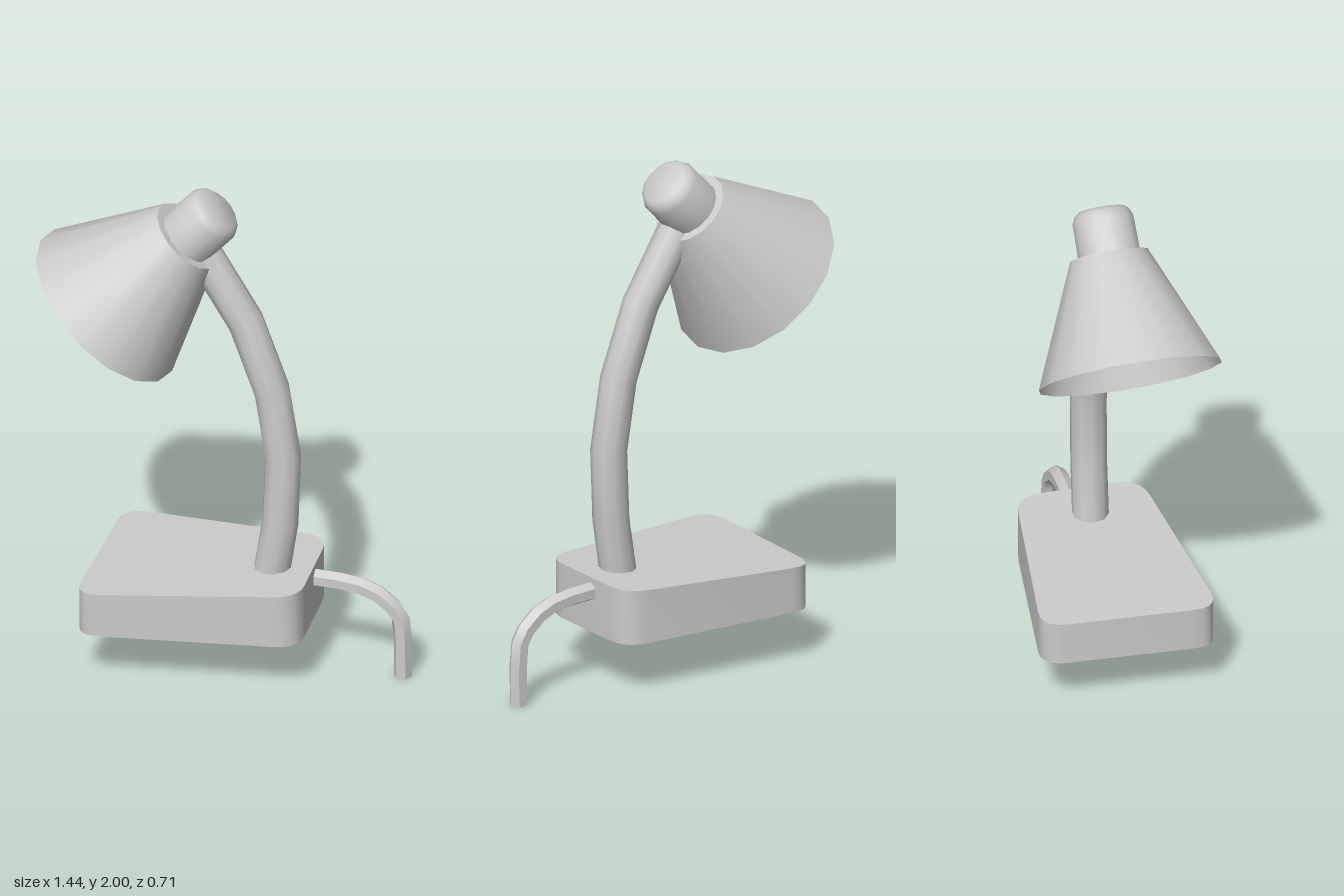
import * as THREE from 'three';
import { toCreasedNormals } from 'three/addons/utils/BufferGeometryUtils.js';

const material = new THREE.MeshStandardMaterial({ color: 0xcccccc, side: THREE.DoubleSide });

function part(name, geometry, crease = 0.7) {
  const mesh = new THREE.Mesh(toCreasedNormals(geometry, crease), material);
  mesh.name = name;
  return mesh;
}

function meshData(positions, index) {
  const g = new THREE.BufferGeometry();
  g.setAttribute('position', new THREE.Float32BufferAttribute(positions, 3));
  g.setIndex(index);
  g.computeVertexNormals();
  return g;
}

// Capped round sweep along a path lying roughly in the xy plane
function sweep(path, radius, sides) {
  const pos = [], idx = [], last = path.length - 1;
  path.forEach((p, i) => {
    const a = path[Math.max(i - 1, 0)], b = path[Math.min(i + 1, last)];
    const t = new THREE.Vector2(b[0] - a[0], b[1] - a[1]).normalize();
    for (let j = 0; j < sides; j++) {
      const ang = (j / sides) * Math.PI * 2, c = Math.cos(ang) * radius;
      pos.push(p[0] + t.y * c, p[1] - t.x * c, p[2] + Math.sin(ang) * radius);
    }
  });
  const start = pos.length / 3, end = start + 1;
  pos.push(...path[0], ...path[last]);
  for (let j = 0; j < sides; j++) {
    const k = (j + 1) % sides;
    for (let i = 0; i < last; i++) {
      const r = i * sides, s = r + sides;
      idx.push(r + j, s + j, r + k, r + k, s + j, s + k);
    }
    idx.push(start, j, k, end, last * sides + k, last * sides + j);
  }
  return meshData(pos, idx);
}

// Tapered base outline (x, z) with rounded corners
function baseOutline() {
  const corners = [[-0.49, 0.34], [0.355, 0.205], [0.335, -0.28], [-0.49, -0.35]]
    .map(([x, z]) => new THREE.Vector2(x, z));
  const points = [];
  corners.forEach((c, i) => {
    const toward = (o) => c.clone().add(o.clone().sub(c).setLength(0.1));
    const curve = new THREE.QuadraticBezierCurve(
      toward(corners[(i + 3) % 4]), c, toward(corners[(i + 1) % 4]));
    points.push(...curve.getPoints(5));
  });
  return points;
}

// Hollow base: sloping top, side wall, open underside
function createBase() {
  const base = new THREE.Group();
  base.name = 'base';
  const outline = baseOutline(), n = outline.length;
  const topY = (x) => 0.39 + (x + 0.49) * 0.054;
  const wall = [], top = [], idx = [];
  outline.forEach((p, i) => {
    const a = 2 * i, b = 2 * ((i + 1) % n);
    wall.push(p.x, 0.215, p.y, p.x, topY(p.x), p.y);
    top.push(p.x, topY(p.x), p.y);
    idx.push(a, b, a + 1, a + 1, b, b + 1);
  });
  const faces = THREE.ShapeUtils.triangulateShape(outline, []);
  const up = faces.flatMap(([a, b, c]) => {
    const ab = outline[b].clone().sub(outline[a]), ac = outline[c].clone().sub(outline[a]);
    return ab.cross(ac) < 0 ? [a, b, c] : [a, c, b];
  });
  base.add(part('baseWall', meshData(wall, idx)), part('baseTop', meshData(top, up)));
  return base;
}

// Tilted head: open conical shade with a rounded socket cap
function createHead() {
  const head = new THREE.Group();
  head.name = 'head';
  const lathe = (profile, sides) =>
    new THREE.LatheGeometry(profile.map(([r, y]) => new THREE.Vector2(r, y)), sides);
  const shade = part('shade', lathe([[0.354, 0], [0.152, 0.465], [0, 0.465]], 16));
  const cap = part('socketCap', lathe(
    [[0.12, 0.46], [0.118, 0.605], [0.107, 0.63], [0.088, 0.645], [0, 0.645]], 16), 0.75);
  head.add(shade, cap);
  const mouth = new THREE.Vector3(-0.46, 1.465, 0);
  const axis = new THREE.Vector3(-0.147, 1.805, -0.016).sub(mouth).normalize();
  head.quaternion.setFromUnitVectors(new THREE.Vector3(0, 1, 0), axis);
  head.position.copy(mouth);
  return head;
}

export function createModel() {
  const lamp = new THREE.Group();
  lamp.name = 'deskLamp';

  // Curved stem from the base to the shade
  const stem = [[0.185, 0.40], [0.22, 0.63], [0.23, 0.91], [0.185, 1.19],
    [0.083, 1.47], [-0.08, 1.735]].map(([x, y]) => [x, y, -0.02]);

  // Power cord bending down behind the base
  const cord = [[0.31, 0.379, -0.062], [0.44, 0.376, -0.065], [0.525, 0.365, -0.067],
    [0.59, 0.34, -0.069], [0.648, 0.292, -0.071], [0.677, 0.245, -0.073],
    [0.685, 0.155, -0.074], [0.685, 0, -0.075]];

  lamp.add(
    createBase(),
    part('stem', sweep(stem, 0.07, 10)),
    part('cord', sweep(cord, 0.036, 6)),
    createHead(),
  );
  return lamp;
}
